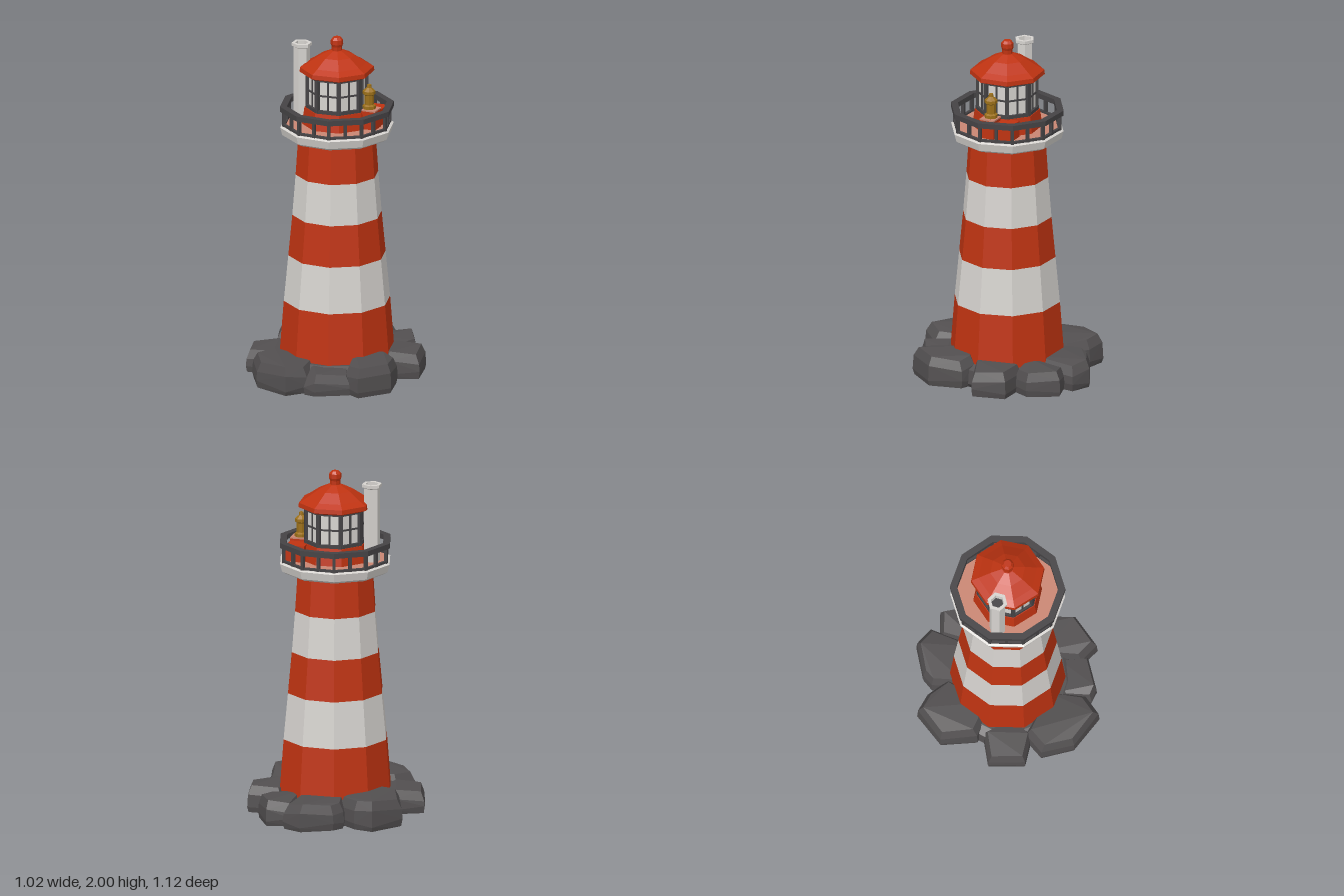
import * as THREE from 'three';
import { ConvexGeometry } from 'three/addons/geometries/ConvexGeometry.js';

const paint = (name, color) => {
  const m = new THREE.MeshStandardMaterial({ color });
  m.name = name;
  return m;
};
const DEG = Math.PI / 180;

export function createModel() {
  const red = paint('red paint', 0xbf3311);
  const white = paint('white paint', 0xd6d3cf);
  const pink = paint('faded deck', 0xc98672);
  const iron = paint('dark iron', 0x454345);
  const stone = paint('dark stone', 0x524f50);
  const brass = paint('brass', 0x9c7019);

  const model = new THREE.Group();
  model.name = 'lighthouse';
  const house = new THREE.Group();
  house.name = 'lighthouseBuilding';
  house.position.set(0.01, 0, -0.01);
  model.add(house);

  const add = (name, geo, mat, x = 0, y = 0, z = 0, turn = 0, parent = house) => {
    const mesh = new THREE.Mesh(geo, mat);
    mesh.name = name;
    mesh.position.set(x, y, z);
    mesh.rotation.y = turn;
    parent.add(mesh);
    return mesh;
  };

  // Faceted lathe: profile of [radius, y]; first corner lies `angle` degrees from +x towards +z
  const turned = (profile, sides, angle) => {
    const pts = profile.map(([r, y]) => new THREE.Vector2(r, y));
    const geo = new THREE.LatheGeometry(pts, sides, (90 - angle) * DEG).toNonIndexed();
    geo.computeVertexNormals();
    return geo;
  };
  const ring = (inner, outer, y0, y1) =>
    [[outer, y0], [outer, y1], [inner, y1], [inner, y0], [outer, y0]];

  // Rocks: each a convex chunk from an outline, bulging at the middle and inset at the top
  const rocks = [
    { h: 0.17, p: [[-0.16, -0.41], [-0.115, -0.475], [0.06, -0.565], [0.175, -0.515], [0.14, -0.22], [-0.12, -0.22]] },
    { h: 0.16, p: [[0.14, -0.45], [0.28, -0.49], [0.375, -0.32], [0.33, -0.22], [0.13, -0.2]] },
    { h: 0.17, p: [[0.27, -0.24], [0.465, -0.235], [0.51, -0.04], [0.34, 0.03], [0.2, 0]] },
    { h: 0.185, p: [[0.33, 0.03], [0.42, 0.065], [0.465, 0.26], [0.33, 0.43], [0.22, 0.37], [0.16, 0.12]] },
    { h: 0.14, p: [[0.27, 0.39], [0.11, 0.455], [0.09, 0.495], [0.02, 0.485], [-0.04, 0.25], [0.2, 0.22]] },
    { h: 0.175, p: [[0.03, 0.45], [-0.06, 0.555], [-0.28, 0.47], [-0.38, 0.3], [-0.3, 0.18], [0, 0.22]] },
    { h: 0.15, p: [[-0.28, 0.22], [-0.45, 0.23], [-0.51, 0.025], [-0.35, -0.05], [-0.2, 0.08]] },
    { h: 0.185, p: [[-0.39, -0.07], [-0.465, -0.27], [-0.335, -0.445], [-0.22, -0.42], [-0.1, -0.33], [-0.18, -0.04]] },
  ];
  const rockGroup = new THREE.Group();
  rockGroup.name = 'rocks';
  model.add(rockGroup);
  rocks.forEach(({ h, p }, k) => {
    const cx = p.reduce((s, q) => s + q[0], 0) / p.length;
    const cz = p.reduce((s, q) => s + q[1], 0) / p.length;
    const pts = [];
    p.forEach(([x, z], i) => {
      const wobble = 0.5 + 0.5 * Math.sin(i * 2.4 + k * 1.7);
      const level = (s, y) =>
        pts.push(new THREE.Vector3(cx + (x - cx) * s, y, cz + (z - cz) * s));
      level(0.95, 0.01);
      level(1, 0.035 + 0.02 * wobble);
      level(0.97, h - 0.05 - 0.025 * wobble);
      level(0.82, h - 0.02 * wobble);
    });
    add('rock', new ConvexGeometry(pts), stone, 0, 0, 0, 0, rockGroup);
  });
  add('rockCore', turned([[0, 0], [0.36, 0], [0.39, 0.03], [0.38, 0.11], [0.33, 0.14], [0, 0.15]], 14, 0),
    stone, 0, 0, 0, 0, rockGroup);

  // Tapered tower, one mesh per painted band
  const levels = [[0.334, 0.08], [0.306, 0.44], [0.28, 0.71], [0.257, 0.95], [0.238, 1.19], [0.222, 1.43]];
  for (let i = 0; i < 5; i++) {
    add('towerBand', turned([levels[i], levels[i + 1]], 10, 3), i % 2 ? white : red);
  }

  // Gallery deck with rounded lip
  add('galleryLip', turned([[0.2, 1.415], [0.29, 1.415], [0.315, 1.43], [0.327, 1.475], [0.315, 1.482], [0, 1.482]], 10, 3), white);
  add('galleryFloor', turned([[0.3, 1.481], [0.3, 1.486], [0, 1.486]], 10, 3), pink);

  // Railing
  add('topRail', turned(ring(0.288, 0.328, 1.57, 1.6), 10, 3), iron);
  add('lowerRail', turned(ring(0.296, 0.314, 1.484, 1.497), 10, 3), iron);
  for (let i = 0; i < 20; i++) {
    const a = (3 + 18 * i) * DEG;
    const r = i % 2 ? 0.29 : 0.305;
    add('railPost', new THREE.BoxGeometry(0.018, 0.1, 0.018), iron,
      r * Math.cos(a), 1.53, r * Math.sin(a), -a);
  }

  // Lantern room: red base, pale panes and iron frame
  const oct = 18;
  add('lanternBase', turned([[0.2, 1.48], [0.185, 1.585], [0, 1.59]], 8, oct), red);
  add('lanternPanes', turned([[0.165, 1.58], [0.165, 1.8]], 8, oct), white);
  add('frameBottom', turned(ring(0.15, 0.18, 1.58, 1.605), 8, oct), iron);
  add('frameMiddle', turned(ring(0.155, 0.171, 1.684, 1.694), 8, oct), iron);
  add('frameTop', turned(ring(0.15, 0.18, 1.775, 1.8), 8, oct), iron);
  for (let i = 0; i < 8; i++) {
    const a = (oct + 45 * i) * DEG;
    add('framePost', new THREE.BoxGeometry(0.024, 0.2, 0.024), iron,
      0.166 * Math.cos(a), 1.69, 0.166 * Math.sin(a), -a);
    const b = a + 22.5 * DEG;
    add('mullion', new THREE.BoxGeometry(0.012, 0.2, 0.01), iron,
      0.153 * Math.cos(b), 1.69, 0.153 * Math.sin(b), -b);
  }

  // Roof and finial
  add('roof', turned([[0, 1.785], [0.185, 1.785], [0.213, 1.797], [0.21, 1.822], [0.17, 1.845],
    [0.1, 1.892], [0.034, 1.922], [0, 1.925]], 8, oct), red);
  add('finial', turned([[0.03, 1.9], [0.03, 1.945], [0.036, 1.96], [0.035, 1.985], [0.022, 2], [0, 2]], 8, oct), red);

  // Chimney pipe with open hexagonal mouth
  add('chimney', turned([[0.046, 1.48], [0.046, 1.915], [0.058, 1.922], [0.058, 1.94], [0.038, 1.94], [0.036, 1.9]], 6, 30),
    white, -0.217, 0, 0.003);
  add('chimneyMouth', turned([[0.037, 1.905], [0, 1.905]], 6, 30), iron, -0.217, 0, 0.003);

  // Side cabinet with the brass lamp on top
  add('cabinet', new THREE.BoxGeometry(0.11, 0.1, 0.1), red, 0.195, 1.532, -0.1);
  add('lampPedestal', new THREE.BoxGeometry(0.1, 0.11, 0.09), red, 0.205, 1.537, 0);
  add('pedestalTop', new THREE.BoxGeometry(0.1, 0.008, 0.09), pink, 0.205, 1.596, 0);
  add('brassLamp', turned([[0, 1.598], [0.038, 1.598], [0.038, 1.618], [0.027, 1.625], [0.027, 1.68], [0.037, 1.687],
    [0.037, 1.705], [0.014, 1.725], [0.012, 1.742], [0, 1.744]], 8, 22.5), brass, 0.2, 0, 0);

  return model;
}
